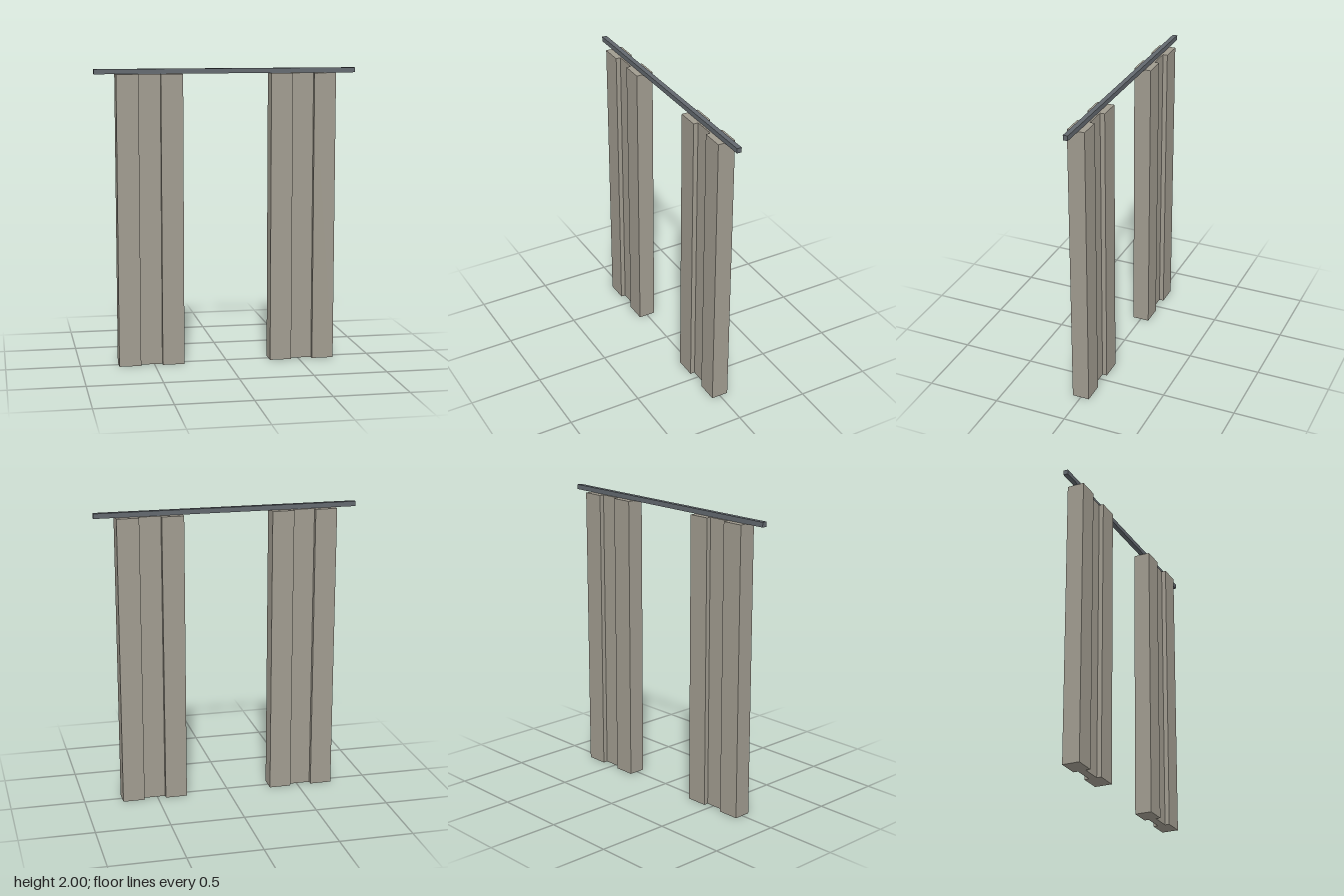
import * as THREE from 'three';

const fabric = new THREE.MeshStandardMaterial({ color: 0xa09b8f });
const metal = new THREE.MeshStandardMaterial({ color: 0x62686e });

const DROP = 1.967;          // height of the curtains
const FOLD = 0.148;          // width of one pleat
const THICK = 0.117;         // depth of the outer pleats
const THIN = 0.054;          // depth of the recessed pleat

// Pleated curtain: H-shaped plan pulled up to full height
function makeCurtain(name, x) {
  const a = FOLD / 2, b = FOLD * 1.5, t = THICK / 2, n = THIN / 2;
  const plan = new THREE.Shape([
    [-b, -t], [-a, -t], [-a, -n], [a, -n], [a, -t], [b, -t],
    [b, t], [a, t], [a, n], [-a, n], [-a, t], [-b, t],
  ].map(([px, py]) => new THREE.Vector2(px, py)));
  const geometry = new THREE.ExtrudeGeometry(plan, { depth: DROP, bevelEnabled: false });
  geometry.rotateX(-Math.PI / 2);
  const mesh = new THREE.Mesh(geometry, fabric);
  mesh.name = name;
  mesh.position.x = x;
  return mesh;
}

export function createModel() {
  const group = new THREE.Group();
  group.name = 'curtains';

  // Square rail resting on the curtain tops
  const rail = new THREE.Mesh(new THREE.BoxGeometry(1.77, 2 - DROP, 0.032), metal);
  rail.name = 'curtainRail';
  rail.position.y = (2 + DROP) / 2;
  group.add(rail);

  // Mirrored pair
  group.add(makeCurtain('leftCurtain', 0.52), makeCurtain('rightCurtain', -0.52));
  return group;
}
